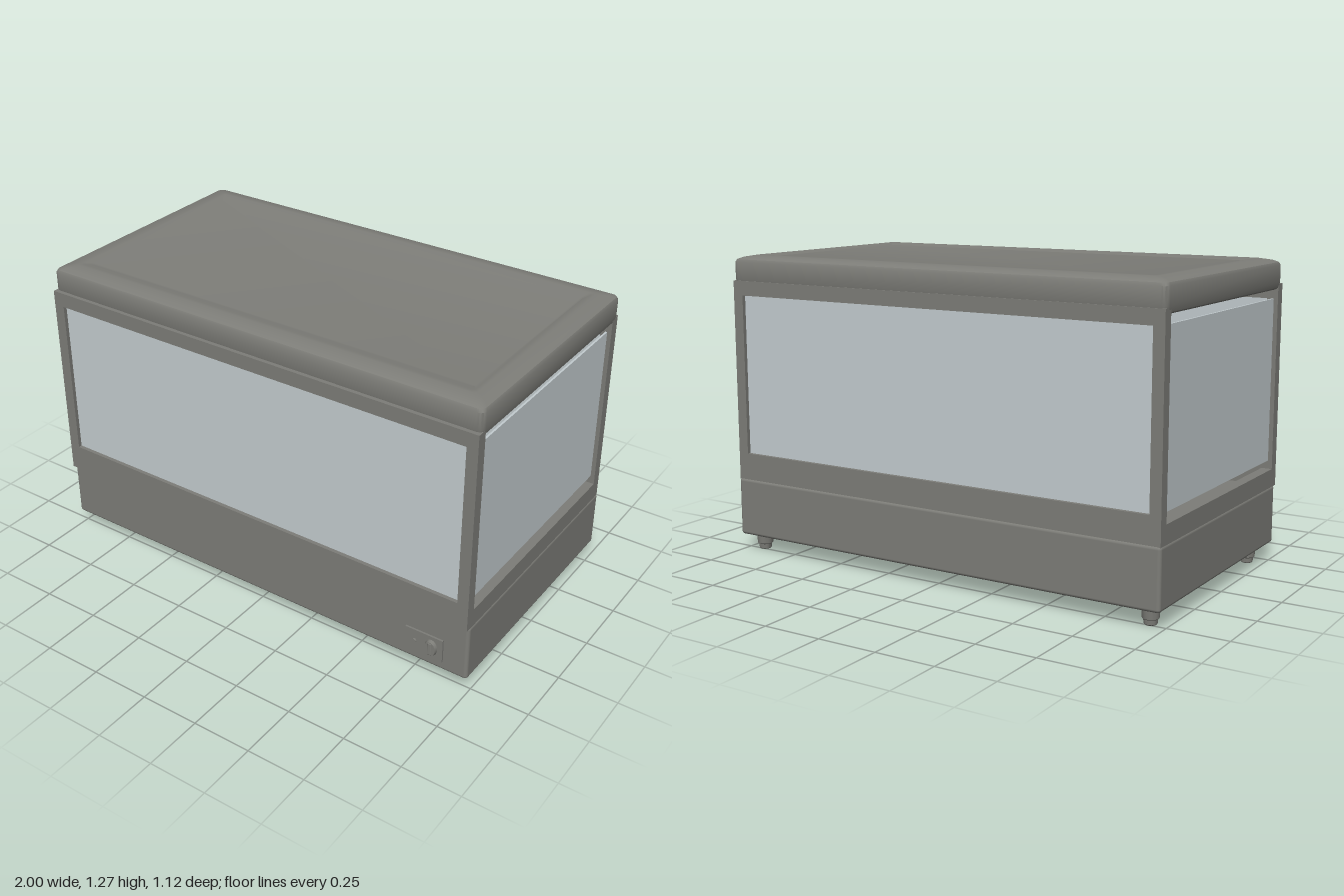
import * as THREE from 'three';
import { toCreasedNormals } from 'three/addons/utils/BufferGeometryUtils.js';
import { RoundedBoxGeometry } from 'three/addons/geometries/RoundedBoxGeometry.js';

const metal = new THREE.MeshStandardMaterial({ color: 0x7d7d78 });
metal.name = 'grey metal';
const glass = new THREE.MeshStandardMaterial({ color: 0xc3cccf });
glass.name = 'pale glass';

// Skin rounded-rectangle rings, listed bottom to top as [halfX, halfZ, radius, y]
function loftRings(rings, steps = 5) {
  const pos = [], index = [], n = 4 * (steps + 1);
  for (const [hx, hz, r, y] of rings) {
    for (let c = 0; c < 4; c++) {
      const sx = c === 0 || c === 3 ? 1 : -1, sz = c < 2 ? 1 : -1;
      for (let s = 0; s <= steps; s++) {
        const a = (c + s / steps) * Math.PI / 2;
        pos.push(sx * (hx - r) + r * Math.cos(a), y, sz * (hz - r) + r * Math.sin(a));
      }
    }
  }
  for (let i = 0; i < rings.length - 1; i++) {
    for (let j = 0; j < n; j++) {
      const a = i * n + j, b = i * n + (j + 1) % n;
      index.push(a, a + n, b, b, a + n, b + n);
    }
  }
  // Flat caps
  for (let j = 1; j < n - 1; j++) {
    const t = (rings.length - 1) * n;
    index.push(0, j, j + 1, t, t + j + 1, t + j);
  }
  const g = new THREE.BufferGeometry();
  g.setAttribute('position', new THREE.Float32BufferAttribute(pos, 3));
  g.setIndex(index);
  return toCreasedNormals(g, 0.6);
}

export function createModel() {
  const group = new THREE.Group();
  const add = (name, geometry, material, x = 0, y = 0, z = 0) => {
    const mesh = new THREE.Mesh(geometry, material);
    mesh.name = name;
    mesh.position.set(x, y, z);
    group.add(mesh);
    return mesh;
  };
  const box = (w, h, d) => new THREE.BoxGeometry(w, h, d);

  // Base cabinet
  add('base', new RoundedBoxGeometry(2, 0.25, 1.1, 4, 0.014), metal, 0, 0.195, -0.01);

  // Lid with a raised rim around a shallow panel
  add('lid', loftRings([
    [0.985, 0.53, 0.02, 1.145], [0.995, 0.54, 0.025, 1.152], [1, 0.546, 0.025, 1.175],
    [1, 0.546, 0.025, 1.245], [0.994, 0.54, 0.025, 1.257], [0.975, 0.522, 0.025, 1.266],
    [0.93, 0.482, 0.02, 1.274], [0.915, 0.465, 0.015, 1.274], [0.895, 0.43, 0.01, 1.265],
  ]), metal, 0, 0, -0.006);

  // Front and back window frames
  const frame = new THREE.Shape();
  frame.moveTo(-0.997, 0.315).lineTo(0.997, 0.315).lineTo(0.997, 1.168).lineTo(-0.997, 1.168).closePath();
  const opening = new THREE.Path();
  opening.moveTo(-0.95, 0.43).lineTo(-0.95, 1.107).lineTo(0.95, 1.107).lineTo(0.95, 0.43).closePath();
  frame.holes.push(opening);
  const frameGeo = new THREE.ExtrudeGeometry(frame, { depth: 0.045, bevelEnabled: false });
  add('frontFrame', frameGeo, metal, 0, 0, 0.51);
  add('backFrame', frameGeo, metal, 0, 0, -0.555);

  // Front and back glass
  for (const [name, z] of [['frontGlass', 0.535], ['backGlass', -0.535]]) {
    add(name, box(1.9, 0.677, 0.008), glass, 0, 0.7685, z);
  }

  // Side rails and side glass, with open slots above and below the glass
  for (const [side, s] of [['left', 1], ['right', -1]]) {
    add(side + 'Rail', box(0.045, 0.08, 1.02), metal, s * 0.9745, 0.352, 0);
    add(side + 'Glass', box(0.008, 0.68, 1.02), glass, s * 0.975, 0.767, 0);
  }

  // Feet
  const foot = new THREE.LatheGeometry([
    [0, 0], [0.022, 0], [0.026, 0.004], [0.028, 0.022], [0.033, 0.026], [0.037, 0.075],
  ].map(([r, y]) => new THREE.Vector2(r, y)), 20);
  const footGeo = toCreasedNormals(foot, 0.6);
  for (const x of [-0.93, 0.93]) {
    for (const z of [0.43, -0.485]) add('foot', footGeo, metal, x, 0, z);
  }

  // Control plate, indicator lamp and oval knob
  add('controlPlate', box(0.165, 0.103, 0.01), metal, 0.812, 0.164, 0.543);
  const lamp = new THREE.CylinderGeometry(0.009, 0.01, 0.006, 16).rotateX(Math.PI / 2);
  add('indicatorLamp', lamp, metal, 0.77, 0.164, 0.55);
  const knob = new THREE.CylinderGeometry(0.024, 0.028, 0.016, 24).rotateX(Math.PI / 2);
  add('knob', knob, metal, 0.845, 0.164, 0.553).scale.y = 1.35;
  add('knobGrip', new RoundedBoxGeometry(0.016, 0.056, 0.012, 3, 0.004), metal, 0.845, 0.164, 0.557);

  return group;
}
